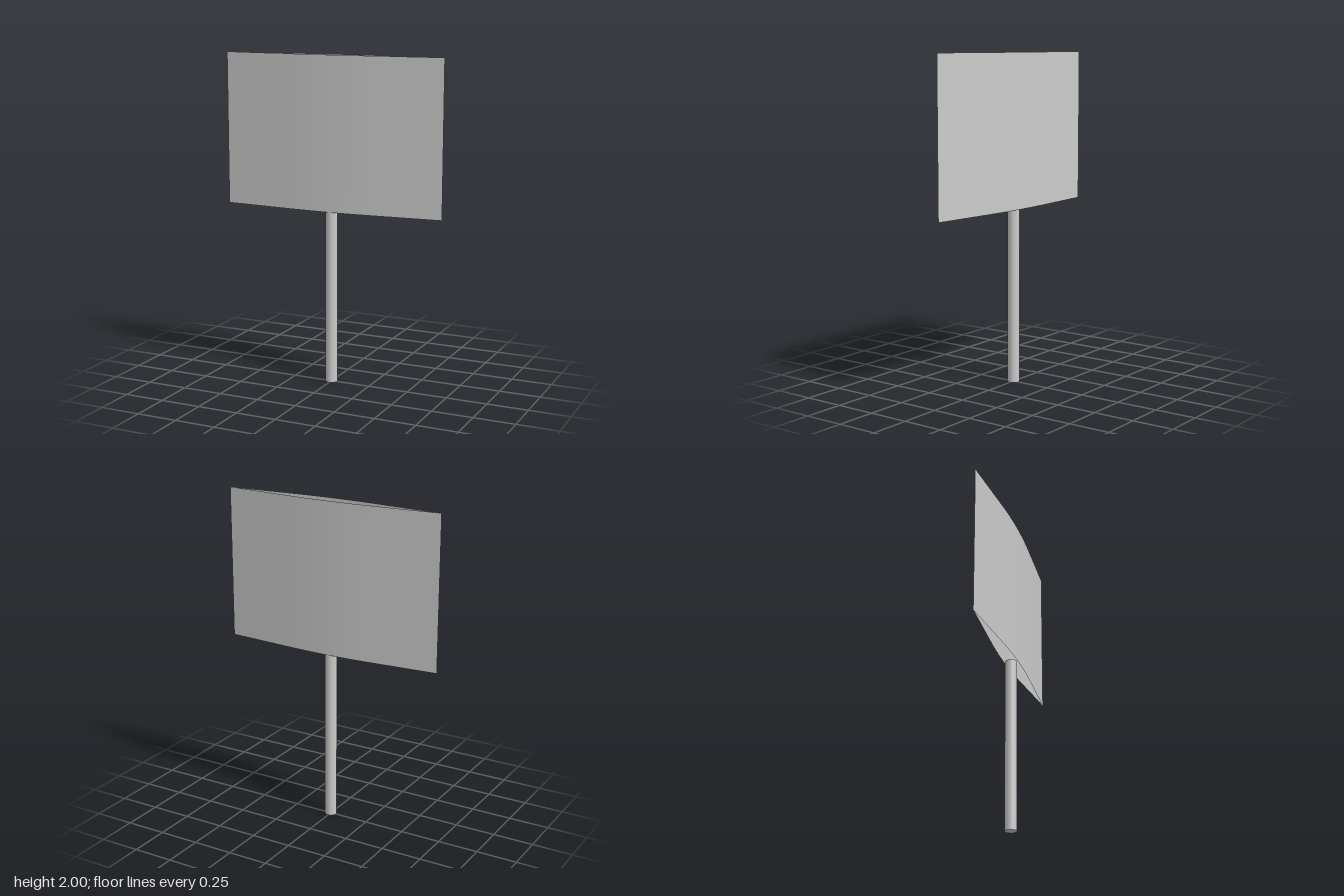
import * as THREE from 'three';

const HALF_WIDTH = 0.703, BOTTOM = 1.065, TOP = 2, POLE_RADIUS = 0.036;

// Bulge of a panel: straight towards the side edges, gently rounded in the middle
function bulge(x) {
  const bend = 0.28, slope = 0.076, a = Math.abs(x);
  if (a > bend) return slope * (HALF_WIDTH - a);
  const atBend = slope * (HALF_WIDTH - bend);
  return atBend + slope * (bend * bend - a * a) / (2 * bend);
}

export function createModel() {
  const model = new THREE.Group();
  const poleMaterial = new THREE.MeshStandardMaterial({ color: 0xcccccc });
  const panelMaterial = new THREE.MeshStandardMaterial({ color: 0xcccccc, side: THREE.DoubleSide });

  // Post
  const pole = new THREE.Mesh(
    new THREE.CylinderGeometry(POLE_RADIUS, POLE_RADIUS, BOTTOM, 32), poleMaterial);
  pole.name = 'pole';
  pole.position.y = BOTTOM / 2;
  model.add(pole);

  // Thin curved panel, open at top and bottom, meeting its twin at the side edges
  const panelGeometry = new THREE.PlaneGeometry(2 * HALF_WIDTH, TOP - BOTTOM, 40, 1);
  const position = panelGeometry.attributes.position;
  for (let i = 0; i < position.count; i++) position.setZ(i, bulge(position.getX(i)));
  panelGeometry.computeVertexNormals();

  for (const [name, turn] of [['frontPanel', 0], ['backPanel', Math.PI]]) {
    const panel = new THREE.Mesh(panelGeometry, panelMaterial);
    panel.name = name;
    panel.position.y = (TOP + BOTTOM) / 2;
    panel.rotation.y = turn;
    model.add(panel);
  }
  return model;
}
